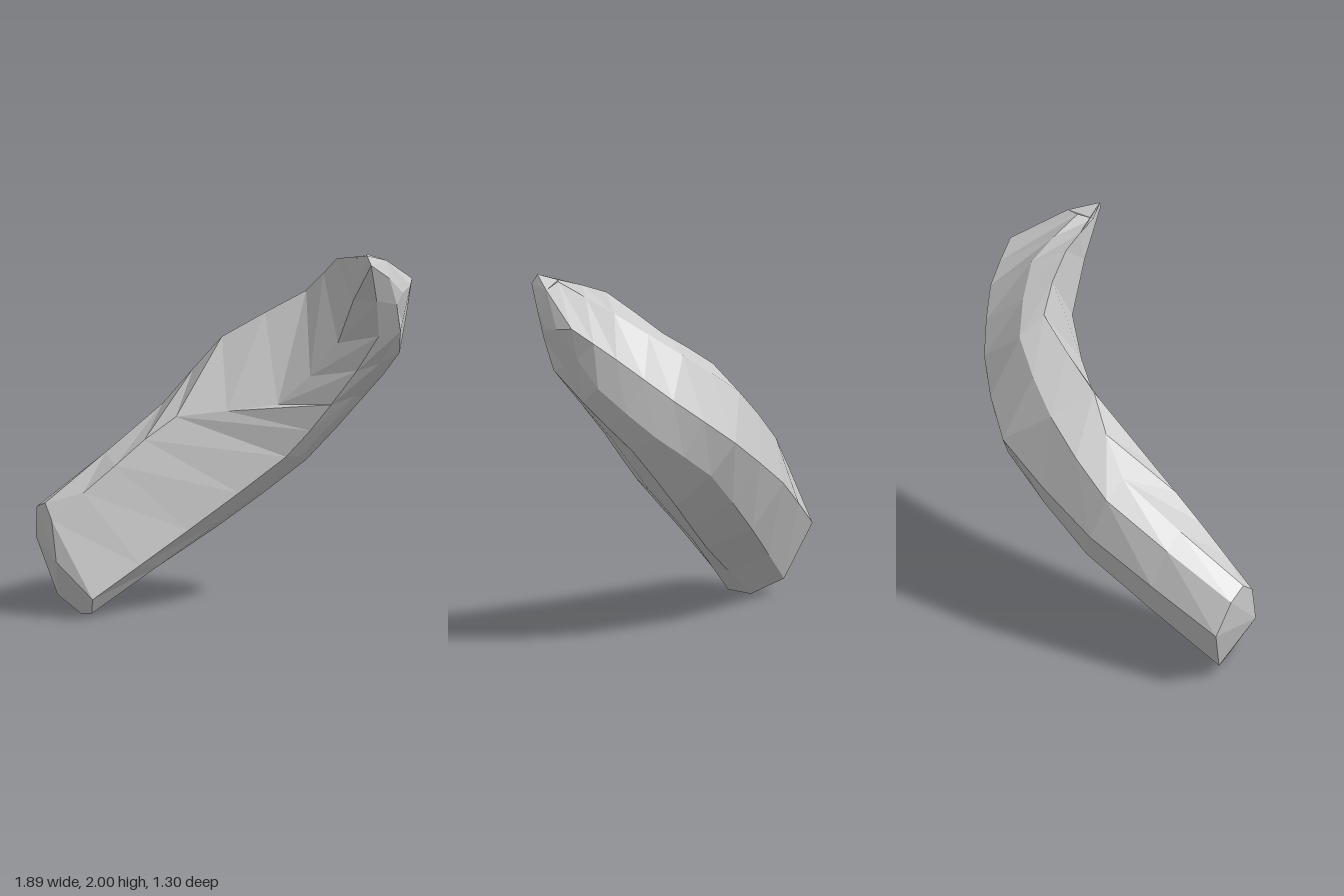
import * as THREE from 'three';

// Ridge lines running from the blunt lower end to the pointed upper end,
// in order around the body.
const ridges = {
  topFront: [[-0.81, 0.6, 0.57], [-0.4, 1.08, -0.02], [-0.1, 1.45, -0.13], [0.3, 1.7, -0.34], [0.56, 1.92, -0.18], [0.76, 1.97, 0]],
  topBack: [[-0.9, 0.56, 0.49], [-0.48, 1, -0.12], [-0.14, 1.34, -0.37], [0.25, 1.6, -0.48], [0.6, 1.84, -0.36], [0.8, 1.98, -0.08]],
  back: [[-0.95, 0.38, 0.4], [-0.48, 0.77, -0.21], [0, 1.12, -0.61], [0.39, 1.4, -0.65], [0.69, 1.64, -0.57], [0.89, 1.8, -0.43]],
  lowBack: [[-0.8, 0.08, 0.44], [-0.3, 0.53, -0.2], [0.12, 0.94, -0.56], [0.48, 1.2, -0.62], [0.78, 1.48, -0.53], [0.93, 1.78, -0.33]],
  underBack: [[-0.63, 0, 0.5], [-0.1, 0.42, -0.05], [0.26, 0.76, -0.42], [0.56, 1.11, -0.5], [0.82, 1.39, -0.42], [0.94, 1.76, -0.22]],
  under: [[-0.53, 0.02, 0.57], [-0.05, 0.46, 0.03], [0.33, 0.82, -0.22], [0.6, 1.15, -0.32], [0.91, 1.54, -0.25], [0.93, 1.86, -0.08]],
  lowerFront: [[-0.49, 0.11, 0.64], [-0.1, 0.46, 0.27], [0.32, 0.84, -0.06], [0.55, 1.13, -0.14], [0.82, 1.52, -0.17], [0.89, 1.95, 0.06]],
  front: [[-0.74, 0.52, 0.63], [-0.48, 0.8, 0.39], [-0.23, 1.05, 0.16], [0.27, 1.12, -0.06], [0.59, 1.47, -0.14], [0.86, 2, 0.05]],
};
const lowerTip = [-0.7, 0.3, 0.655];
const upperTip = [0.89, 1.95, -0.12];
const STEPS = 10;

// Skins the ridges with flat facets and closes each end with a fan.
function skin(lines, startPoint, endPoint) {
  const n = lines.length;
  const rails = lines.map((pts) => new THREE.CatmullRomCurve3(
    pts.map((p) => new THREE.Vector3(...p)), false, 'catmullrom', 0.25));
  const pos = [];
  const index = [];
  for (let i = 0; i <= STEPS; i++) {
    for (const rail of rails) pos.push(...rail.getPoint(i / STEPS).toArray());
  }
  const first = pos.length / 3;
  pos.push(...startPoint, ...endPoint);
  for (let j = 0; j < n; j++) {
    const k = (j + 1) % n;
    for (let i = 0; i < STEPS; i++) {
      const a = i * n + j, c = i * n + k;
      index.push(a, a + n, c, a + n, c + n, c);
    }
    index.push(first, j, k);
    index.push(first + 1, STEPS * n + k, STEPS * n + j);
  }
  const g = new THREE.BufferGeometry();
  g.setAttribute('position', new THREE.Float32BufferAttribute(pos, 3));
  g.setIndex(index);
  const flat = g.toNonIndexed();
  flat.computeVertexNormals();
  return flat;
}

export function createModel() {
  const group = new THREE.Group();
  group.name = 'curvedHorn';
  const body = new THREE.Mesh(
    skin(Object.values(ridges), lowerTip, upperTip),
    new THREE.MeshStandardMaterial({ color: 0xcccccc, flatShading: true }));
  body.name = 'hornBody';
  group.add(body);
  return group;
}
